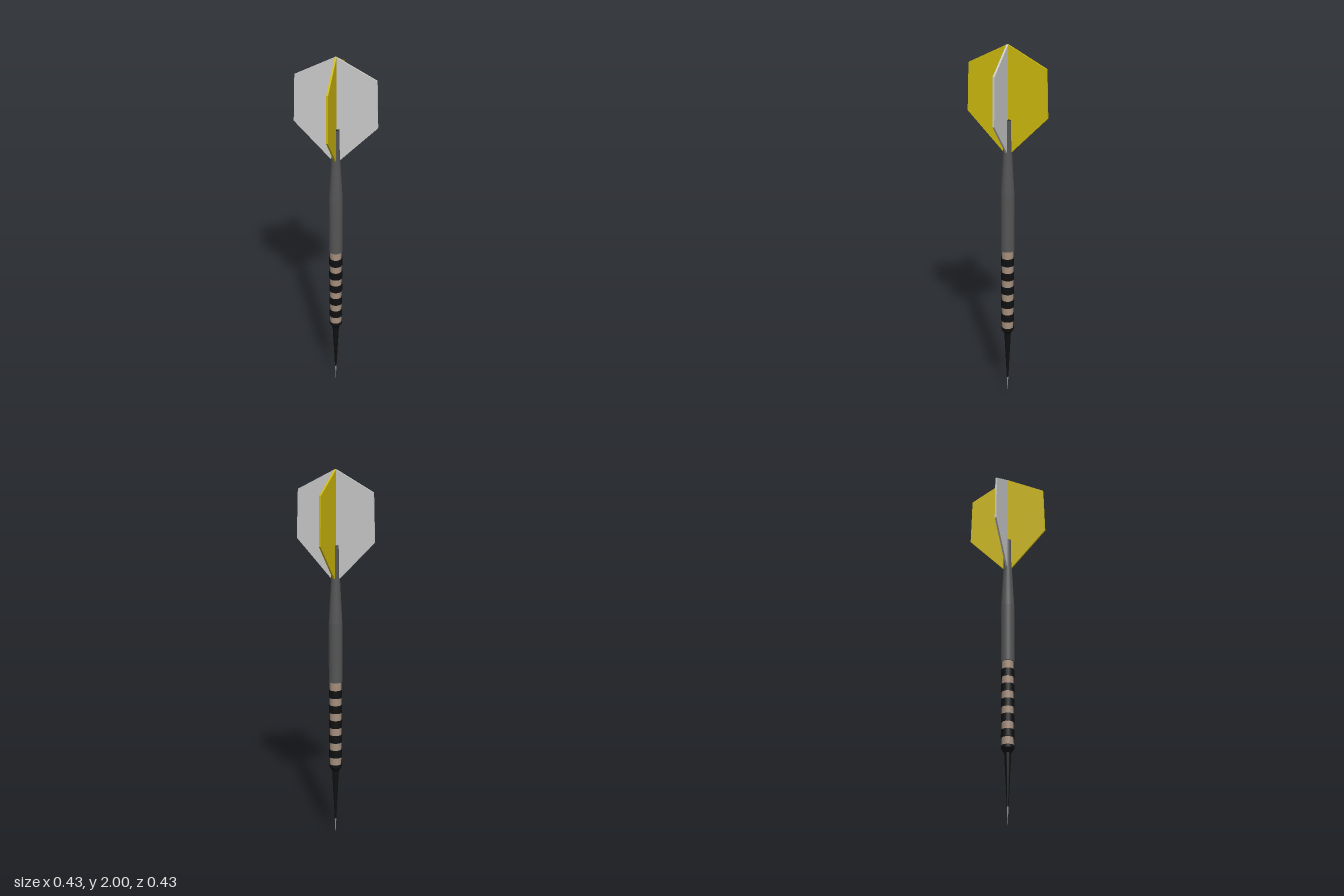
import * as THREE from 'three';

const mat = (name, color) => {
  const m = new THREE.MeshStandardMaterial({ color });
  m.name = name;
  return m;
};

export function createModel() {
  const steel = mat('steel', 0x8c8f98);
  const black = mat('black', 0x101010);
  const tan = mat('tan', 0xa48f7e);
  const grey = mat('dark grey', 0x555555);
  const silver = mat('light grey', 0xcacaca);
  const yellow = mat('yellow', 0xcbb70e);

  const dart = new THREE.Group();
  dart.name = 'dart';

  const add = (parent, name, geometry, material) => {
    const mesh = new THREE.Mesh(geometry, material);
    mesh.name = name;
    parent.add(mesh);
    return mesh;
  };

  // Turned section between two heights, with a radius at each end
  const turned = (parent, name, y0, y1, r0, r1, material) => {
    const g = new THREE.CylinderGeometry(r1, r0, y1 - y0, 32);
    g.translate(0, (y0 + y1) / 2, 0);
    return add(parent, name, g, material);
  };

  // Needle and flared black point
  const point = new THREE.Group();
  point.name = 'point';
  dart.add(point);
  turned(point, 'needle', 0, 0.09, 0.0005, 0.0045, steel);
  turned(point, 'pointCone', 0.08, 0.37, 0.004, 0.018, black);
  turned(point, 'pointFlare', 0.37, 0.395, 0.018, 0.034, black);
  turned(point, 'pointCollar', 0.395, 0.41, 0.034, 0.034, black);

  // Barrel with five raised grip rings
  const barrel = new THREE.Group();
  barrel.name = 'barrel';
  dart.add(barrel);
  turned(barrel, 'barrelCore', 0.41, 0.875, 0.031, 0.031, tan);
  for (let i = 0; i < 5; i++) {
    const y = 0.473 + i * 0.084;
    turned(barrel, 'gripRing', y - 0.021, y + 0.021, 0.0355, 0.0355, black);
  }

  // Smooth tapering shaft with a dark socket at the top
  const shaft = new THREE.Group();
  shaft.name = 'shaft';
  dart.add(shaft);
  turned(shaft, 'shaftBase', 0.875, 1.2, 0.036, 0.036, grey);
  turned(shaft, 'shaftTaper', 1.2, 1.44, 0.036, 0.023, grey);
  turned(shaft, 'shaftNeck', 1.44, 1.607, 0.023, 0.02, grey);
  turned(shaft, 'shaftSocket', 1.605, 1.6085, 0.0195, 0.0195, black);

  // Two crossed plates form the four flights
  const half = [[0.025, 1.435], [0.215, 1.635], [0.207, 1.89]];
  const outline = [
    ...half, [0, 2],
    ...half.map(([x, y]) => [-x, y]).reverse(),
  ].map(([x, y]) => new THREE.Vector2(x, y));
  const thickness = 0.0095;
  const plate = new THREE.ExtrudeGeometry(new THREE.Shape(outline), {
    depth: thickness, bevelEnabled: false,
  });
  plate.translate(0, 0, -thickness / 2);
  const flights = new THREE.Group();
  flights.name = 'flights';
  dart.add(flights);
  add(flights, 'sideFlights', plate, silver);
  add(flights, 'frontBackFlights', plate, yellow).rotation.y = Math.PI / 2;

  return dart;
}
